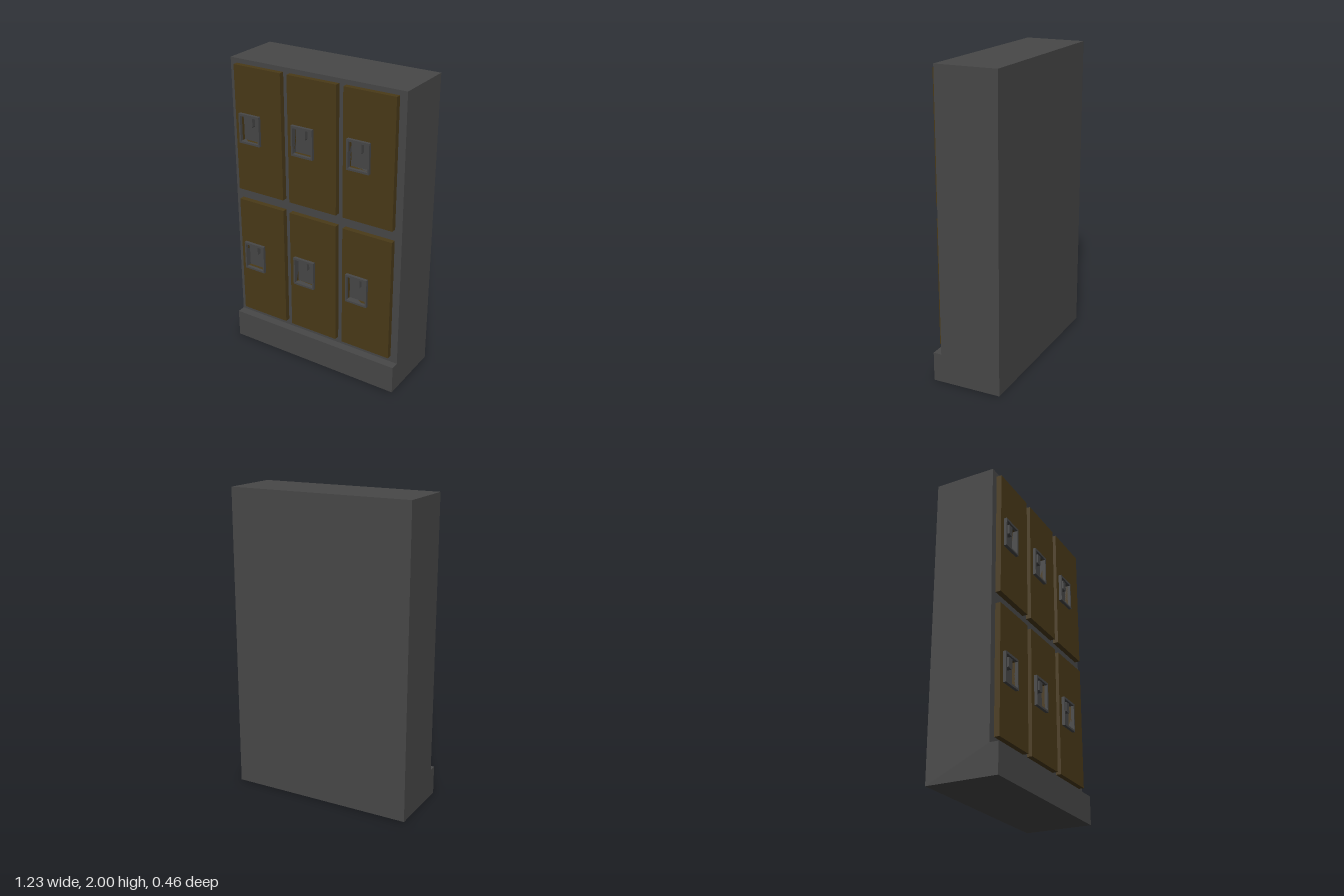
import * as THREE from 'three';

const steel = new THREE.MeshStandardMaterial({ color: 0x484848 });
const doorPaint = new THREE.MeshStandardMaterial({ color: 0x4a3a18 });

function rect(target, x0, y0, x1, y1) {
  target.moveTo(x0, y0);
  target.lineTo(x1, y0);
  target.lineTo(x1, y1);
  target.lineTo(x0, y1);
  target.closePath();
  return target;
}

// Rectangular plate with a rectangular opening, running from z0 to z1
function plateWithHole(name, outer, hole, z0, z1, material) {
  const shape = rect(new THREE.Shape(), ...outer);
  shape.holes.push(rect(new THREE.Path(), ...hole));
  const geo = new THREE.ExtrudeGeometry(shape, { depth: z1 - z0, bevelEnabled: false });
  const mesh = new THREE.Mesh(geo, material);
  mesh.name = name;
  mesh.position.z = z0;
  return mesh;
}

// Door with its recessed handle; origin at the door's centre
function createDoor() {
  const door = new THREE.Group();
  door.name = 'door';
  const opening = [-0.127, -0.07, 0.005, 0.097];
  door.add(plateWithHole('doorPanel', [-0.173, -0.415, 0.173, 0.415], opening, 0.175, 0.21, doorPaint));
  door.add(plateWithHole('handleFrame', [-0.138, -0.083, 0.016, 0.112], opening, 0.185, 0.23, steel));

  // Back of the handle recess
  const back = new THREE.Mesh(new THREE.BoxGeometry(0.14, 0.175, 0.012), steel);
  back.name = 'recessBack';
  back.position.set(-0.061, 0.0135, 0.184);
  door.add(back);

  // Latch tab with chamfered lower corners
  const tab = new THREE.Shape();
  tab.moveTo(-0.081, 0.097);
  tab.lineTo(-0.081, 0.035);
  tab.lineTo(-0.074, 0.028);
  tab.lineTo(-0.048, 0.028);
  tab.lineTo(-0.041, 0.035);
  tab.lineTo(-0.041, 0.097);
  tab.closePath();
  const latch = new THREE.Mesh(new THREE.ExtrudeGeometry(tab, { depth: 0.03, bevelEnabled: false }), steel);
  latch.name = 'latch';
  latch.position.z = 0.188;
  door.add(latch);
  return door;
}

export function createModel() {
  const model = new THREE.Group();
  model.name = 'lockers';

  // Cabinet and plinth in one piece, extruded from the side profile
  const side = new THREE.Shape();
  side.moveTo(-0.23, 0);
  side.lineTo(0.23, 0);
  side.lineTo(0.23, 0.19);
  side.lineTo(0.175, 0.19);
  side.lineTo(0.175, 2);
  side.lineTo(-0.23, 2);
  side.closePath();
  const geo = new THREE.ExtrudeGeometry(side, { depth: 1.23, bevelEnabled: false });
  geo.translate(0, 0, -0.615);
  geo.rotateY(-Math.PI / 2);
  // The profile's forward axis now lies along +z
  const cabinet = new THREE.Mesh(geo, steel);
  cabinet.name = 'cabinet';
  model.add(cabinet);

  // Two rows of three doors
  for (const y of [0.65, 1.555]) {
    for (const x of [-0.394, 0, 0.394]) {
      const door = createDoor();
      door.position.set(x, y, 0);
      model.add(door);
    }
  }
  return model;
}
